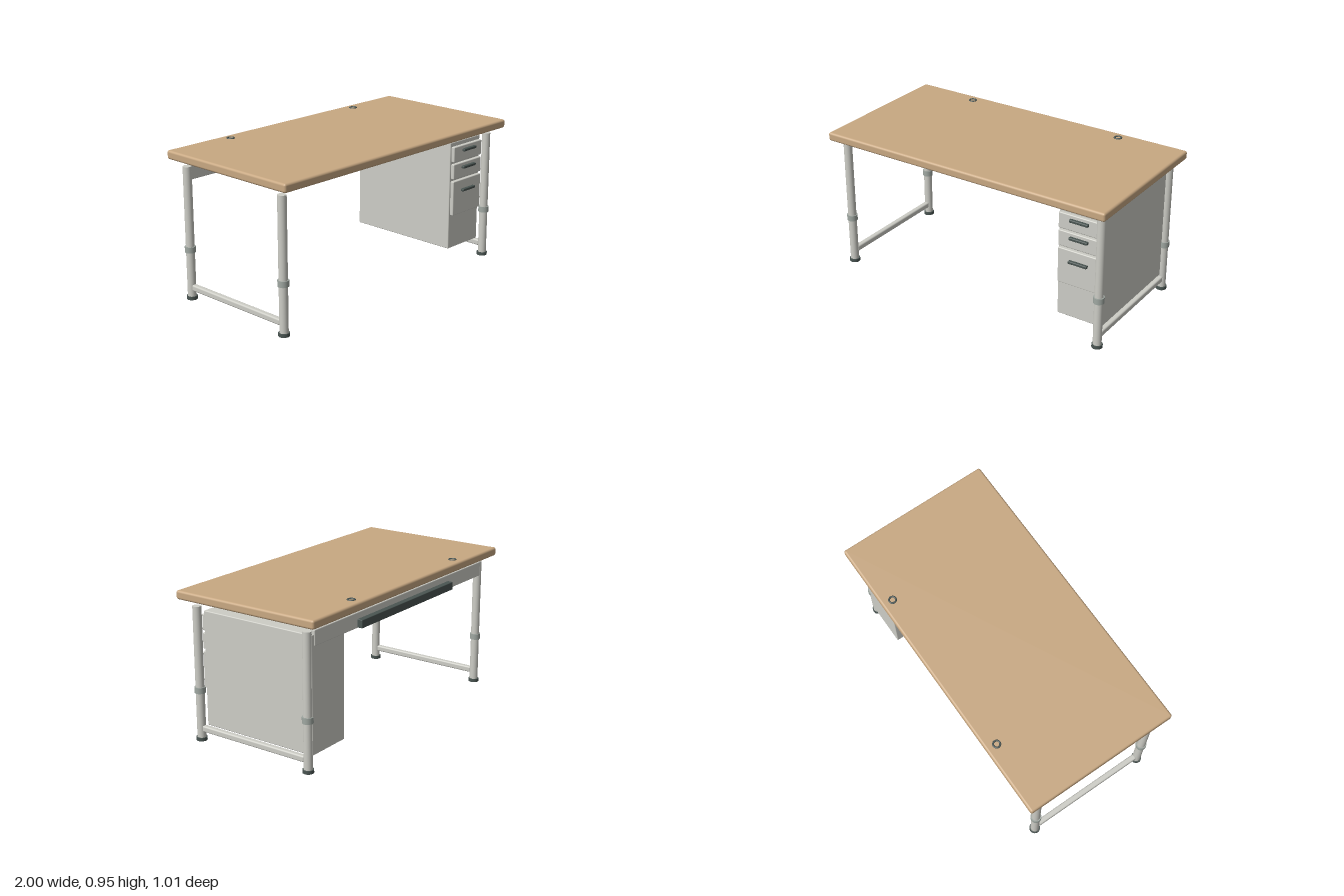
import * as THREE from 'three';
import { RoundedBoxGeometry } from 'three/addons/geometries/RoundedBoxGeometry.js';

const material = (name, color) => {
  const m = new THREE.MeshStandardMaterial({ color });
  m.name = name;
  return m;
};

export function createModel() {
  const wood = material('tan wood', 0xc8a882);
  const metal = material('light grey metal', 0xcdcdc6);
  const collar = material('mid grey collar', 0xa0a8a2);
  const dark = material('dark grey plastic', 0x4a5552);

  const desk = new THREE.Group();
  desk.name = 'desk';

  const add = (parent, name, geometry, mat, x, y, z) => {
    const mesh = new THREE.Mesh(geometry, mat);
    mesh.name = name;
    mesh.position.set(x, y, z);
    parent.add(mesh);
    return mesh;
  };
  // Rounded box given by its lower and upper limits on each axis
  const box = (parent, name, mat, [x0, x1], [y0, y1], [z0, z1], radius) =>
    add(parent, name, new RoundedBoxGeometry(x1 - x0, y1 - y0, z1 - z0, 3, radius), mat,
      (x0 + x1) / 2, (y0 + y1) / 2, (z0 + z1) / 2);
  // Upright cylinder between two heights
  const post = (parent, name, mat, r, y0, y1, x, z) =>
    add(parent, name, new THREE.CylinderGeometry(r, r, y1 - y0, 32), mat, x, (y0 + y1) / 2, z);

  // Worktop with two cable grommets near the back edge
  box(desk, 'worktop', wood, [-1, 1], [0.889, 0.944], [-0.507, 0.507], 0.014);
  for (const x of [-0.553, 0.553]) {
    const ring = add(desk, 'cableGrommet', new THREE.TorusGeometry(0.021, 0.006, 12, 32), dark, x, 0.944, -0.438);
    ring.rotation.x = Math.PI / 2;
  }

  // Side frames: two height-adjustable legs joined by a low rail
  for (const side of [-1, 1]) {
    const frame = new THREE.Group();
    frame.name = side > 0 ? 'leftFrame' : 'rightFrame';
    desk.add(frame);
    const x = side * 0.93;
    for (const z of [-0.408, 0.408]) {
      post(frame, 'leg', metal, 0.027, 0.01, 0.85, x, z);
      post(frame, 'legCollar', collar, 0.034, 0.306, 0.344, x, z);
      post(frame, 'foot', dark, 0.034, 0, 0.021, x, z);
    }
    box(frame, 'footRail', metal, [x - 0.018, x + 0.018], [0.06, 0.099], [-0.388, 0.388], 0.01);
  }

  // Rear crossbeam with the cable tray passing through it
  box(desk, 'rearBeam', metal, [-0.905, 0.905], [0.76, 0.856], [-0.443, -0.403], 0.006);
  box(desk, 'cableTray', dark, [-0.5, 0.5], [0.764, 0.815], [-0.478, -0.3], 0.004);

  // Drawer pedestal
  const pedestal = new THREE.Group();
  pedestal.name = 'pedestal';
  desk.add(pedestal);
  box(pedestal, 'cabinet', metal, [0.62, 0.926], [0.106, 0.829], [-0.437, 0.359], 0.006);
  // Each entry: bottom, top and handle height
  for (const [y0, y1, handleY] of [[0.7, 0.802, 0.772], [0.585, 0.686, 0.656], [0.338, 0.57, 0.5]]) {
    box(pedestal, 'drawerFront', metal, [0.63, 0.916], [y0, y1], [0.357, 0.384], 0.006);
    box(pedestal, 'drawerHandle', dark, [0.71, 0.836], [handleY - 0.009, handleY + 0.009], [0.382, 0.405], 0.005);
  }

  return desk;
}
